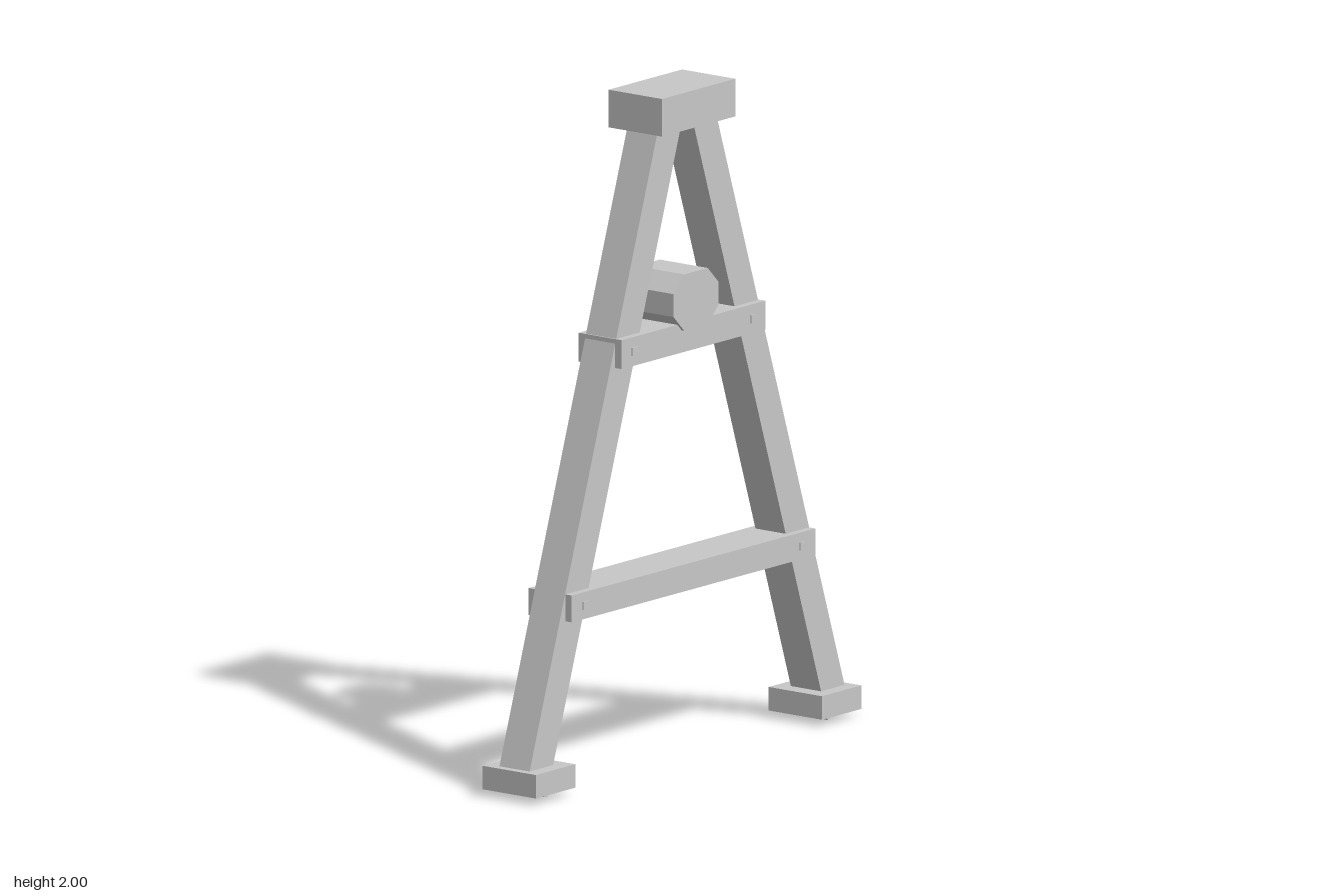
import * as THREE from 'three';

export function createModel() {
  const model = new THREE.Group();
  model.name = 'trestleFrame';
  const grey = new THREE.MeshStandardMaterial({ color: 0xc7c7c7 });
  grey.name = 'lightGrey';

  function add(name, geometry, x, y, z = 0) {
    const mesh = new THREE.Mesh(geometry, grey);
    mesh.name = name;
    mesh.position.set(x, y, z);
    model.add(mesh);
    return mesh;
  }
  const box = (name, w, h, d, x, y, z) => add(name, new THREE.BoxGeometry(w, h, d), x, y, z);

  // Block joining the legs at the top
  box('topCap', 0.343, 0.112, 0.198, 0, 1.944);

  // Slanted legs with feet, the leg ends poke slightly below the feet
  const foot = new THREE.Vector2(0.704, 0.0165);
  const top = new THREE.Vector2(0.063, 1.95);
  const mid = foot.clone().add(top).multiplyScalar(0.5);
  const lean = Math.atan2(foot.x - top.x, top.y - foot.y);
  for (const [side, s] of [['left', 1], ['right', -1]]) {
    box(side + 'Leg', 0.104, foot.distanceTo(top), 0.112, s * mid.x, mid.y).rotation.z = s * lean;
    box(side + 'Foot', 0.184, 0.07, 0.198, s * 0.667, 0.056);
  }

  // Crossbars with small square pegs on the front
  const bars = [
    { name: 'lower', half: 0.568, y: 0.549, h: 0.08, peg: 0.505 },
    { name: 'upper', half: 0.335, y: 1.265, h: 0.086, peg: 0.278 },
  ];
  for (const { name, half, y, h, peg } of bars) {
    box(name + 'Crossbar', half * 2, h, 0.16, 0, y);
    for (const s of [1, -1]) box(name + 'Peg', 0.024, 0.024, 0.02, s * peg, y, 0.074);
  }

  // Chamfered beam resting on the upper crossbar
  const a = 0.105, b = 0.084, c = 0.05;
  const outline = new THREE.Shape([
    [a, b - c], [a - c, b], [c - a, b], [-a, b - c],
    [-a, c - b], [c - a, -b], [a - c, -b], [a, c - b],
  ].map(([x, y]) => new THREE.Vector2(x, y)));
  const beam = new THREE.ExtrudeGeometry(outline, { depth: 0.178, bevelEnabled: false });
  beam.translate(0, 0, -0.089);
  add('beam', beam, 0, 1.372);

  return model;
}
